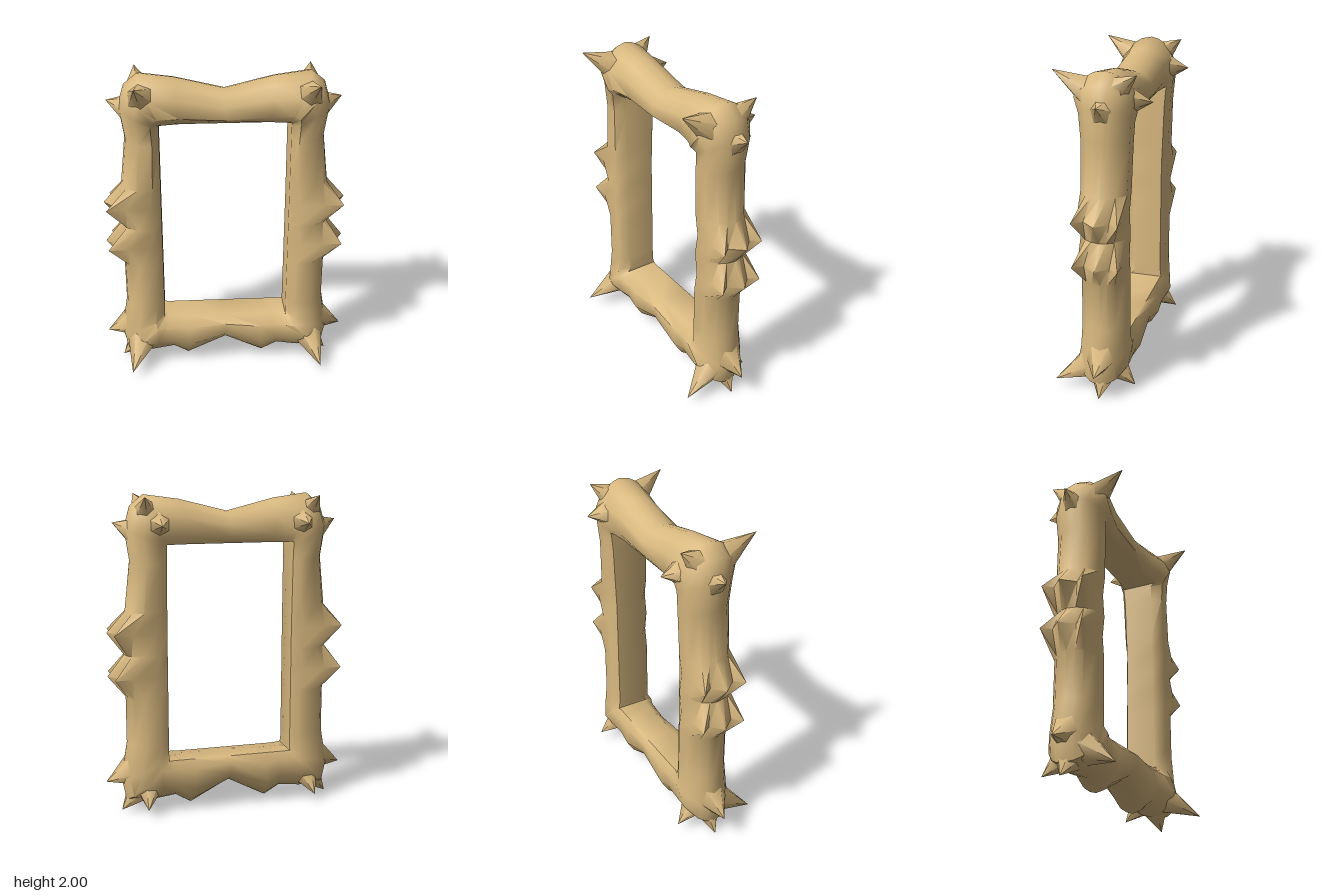
import * as THREE from 'three';
import { toCreasedNormals } from 'three/addons/utils/BufferGeometryUtils.js';

const material = new THREE.MeshStandardMaterial({ color: 0xd9b980, side: THREE.DoubleSide });

// Half of the frame, clockwise from top centre:
// inner x, inner y, outer x, outer y, front z, back z, jagged side tooth (1 or 0)
const half = [
  [0, 1.70, 0, 1.89, 0.12, -0.16, 0],
  [0.27, 1.70, 0.30, 1.965, 0.12, -0.16, 0],
  [0.38, 1.70, 0.52, 1.995, 0.15, -0.18, 0],
  [0.40, 1.70, 0.60, 1.93, 0.16, -0.19, 0],
  [0.40, 1.68, 0.64, 1.80, 0.125, -0.18, 0],
  [0.40, 1.58, 0.61, 1.60, 0.12, -0.17, 0],
  [0.40, 1.29, 0.645, 1.29, 0.12, -0.16, 0],
  [0.40, 1.16, 0.76, 1.16, 0.12, -0.155, 1],
  [0.40, 1.02, 0.655, 1.02, 0.12, -0.155, 0],
  [0.40, 0.885, 0.76, 0.885, 0.12, -0.155, 1],
  [0.40, 0.75, 0.65, 0.75, 0.12, -0.155, 0],
  [0.40, 0.45, 0.65, 0.45, 0.12, -0.155, 0],
  [0.40, 0.36, 0.69, 0.22, 0.125, -0.16, 0],
  [0.40, 0.34, 0.66, 0.08, 0.15, -0.17, 0],
  [0.37, 0.34, 0.50, 0.06, 0.13, -0.16, 0],
  [0.31, 0.34, 0.35, 0.08, 0.12, -0.16, 0],
  [0.23, 0.34, 0.25, 0.02, 0.12, -0.16, 0],
  [0, 0.34, 0, 0.155, 0.12, -0.16, 0],
];

// Cross-section: [share of the way outward, share of the way from back to front]
const plain = [[0, 0.1], [0, 0.78], [0.2, 1], [0.6, 1], [0.86, 0.82], [0.96, 0.67],
  [1, 0.48], [0.96, 0.33], [0.86, 0.18], [0.6, 0], [0.2, 0]];
const tooth = [[0, 0.1], [0, 0.78], [0.2, 1], [0.6, 1], [0.94, 1], [0.8, 0.78],
  [1, 0.48], [0.8, 0.22], [0.92, 0], [0.6, 0], [0.2, 0]];

function frameGeometry() {
  const mirrored = half.slice(1, -1).reverse().map(([ix, iy, ox, ...rest]) => [-ix, iy, -ox, ...rest]);
  const loop = [...half, ...mirrored];
  const positions = [], index = [];
  const n = plain.length, m = loop.length;
  loop.forEach(([ix, iy, ox, oy, front, back, jagged], i) => {
    (jagged ? tooth : plain).forEach(([u, w], j) => {
      positions.push(ix + (ox - ix) * u, iy + (oy - iy) * u, back + (front - back) * w);
      const next = ((i + 1) % m) * n, k = (j + 1) % n;
      index.push(i * n + j, next + j, i * n + k, next + j, next + k, i * n + k);
    });
  });
  const geometry = new THREE.BufferGeometry();
  geometry.setAttribute('position', new THREE.Float32BufferAttribute(positions, 3));
  geometry.setIndex(index);
  return toCreasedNormals(geometry, 0.95);
}

// Thorn growing out of the frame: base centre, tip, base radius
function thorn(name, base, tip, radius, side) {
  const from = new THREE.Vector3(...base), to = new THREE.Vector3(...tip);
  from.x *= side;
  to.x *= side;
  const direction = to.clone().sub(from);
  const geometry = new THREE.ConeGeometry(radius, direction.length(), 6, 1, true);
  const mesh = new THREE.Mesh(geometry, material);
  mesh.name = name + (side > 0 ? 'Left' : 'Right');
  mesh.position.copy(from).add(to).multiplyScalar(0.5);
  mesh.quaternion.setFromUnitVectors(new THREE.Vector3(0, 1, 0), direction.normalize());
  return mesh;
}

const thorns = [
  ['topFrontThorn', [0.49, 1.85, 0.04], [0.53, 1.99, 0.28], 0.11],
  ['topBackThorn', [0.51, 1.87, -0.06], [0.54, 1.985, -0.215], 0.1],
  ['upperBackThorn', [0.45, 1.82, -0.09], [0.45, 1.82, -0.285], 0.12],
  ['upperSideThorn', [0.55, 1.77, -0.03], [0.71, 1.83, -0.03], 0.11],
  ['lowerSideThorn', [0.58, 0.28, -0.02], [0.785, 0.2, -0.02], 0.13],
  ['bottomFrontThorn', [0.55, 0.19, 0.04], [0.62, 0.055, 0.28], 0.11],
  ['bottomBackThorn', [0.52, 0.17, -0.06], [0.55, 0.055, -0.215], 0.1],
  ['bottomCornerThorn', [0.55, 0.16, -0.02], [0.69, 0.0, -0.02], 0.11],
];

export function createModel() {
  const group = new THREE.Group();
  group.name = 'thornyFrame';

  // Rounded rectangular frame with jagged sides
  const frame = new THREE.Mesh(frameGeometry(), material);
  frame.name = 'frame';
  group.add(frame);

  // Corner thorns on both sides
  for (const side of [1, -1]) {
    for (const [name, base, tip, radius] of thorns) group.add(thorn(name, base, tip, radius, side));
  }
  return group;
}
